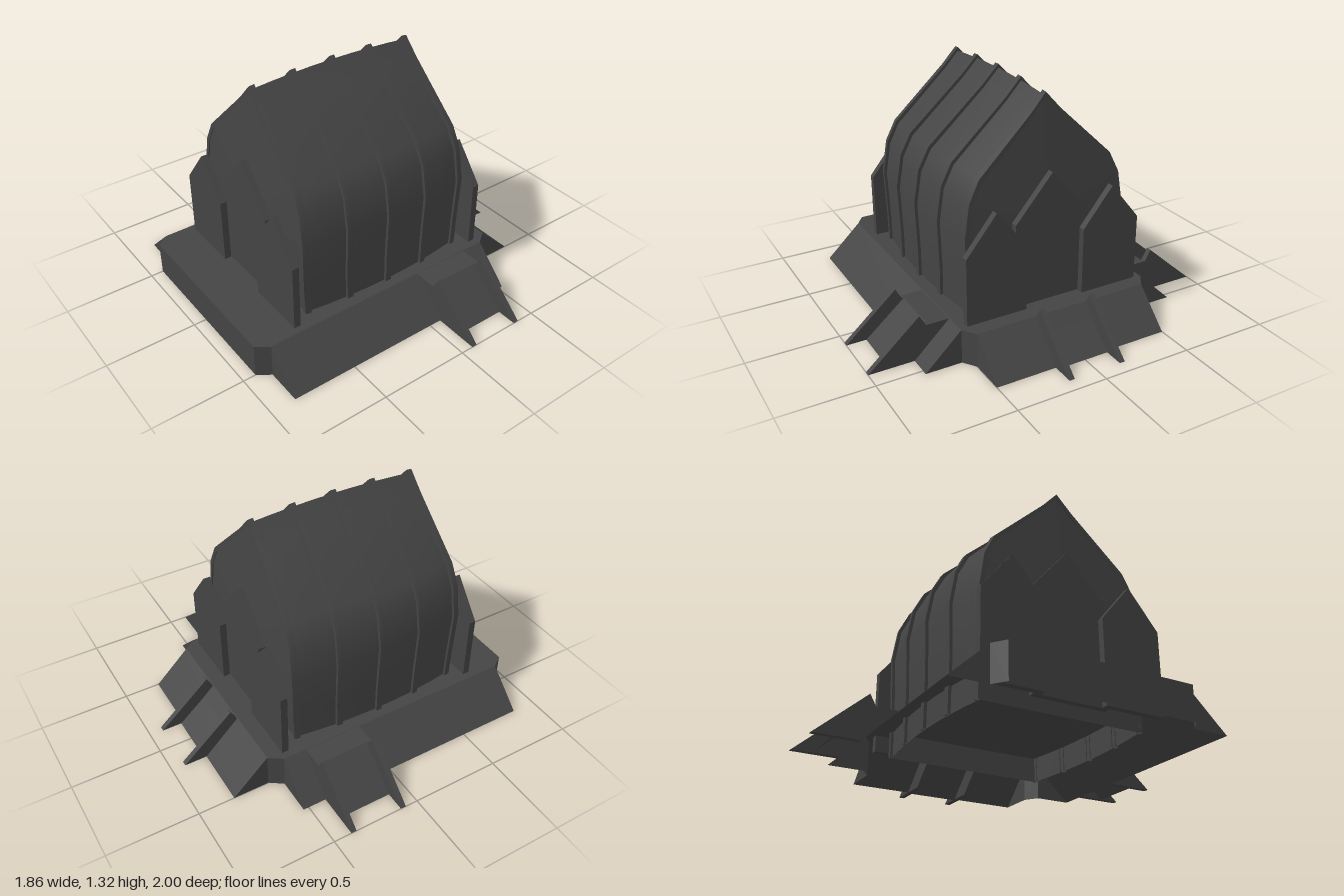
import * as THREE from 'three';
import { toCreasedNormals } from 'three/addons/utils/BufferGeometryUtils.js';

const material = new THREE.MeshStandardMaterial({ color: 0x444444, side: THREE.DoubleSide });
const DECK = 0.19;
const HALL_X = -0.09;

function part(name, geometry, parent) {
  const mesh = new THREE.Mesh(geometry, material);
  mesh.name = name;
  parent.add(mesh);
  return mesh;
}

// Flat-shaded geometry from a list of triangle corners
function triangles(corners) {
  const g = new THREE.BufferGeometry();
  g.setAttribute('position', new THREE.Float32BufferAttribute(corners.flat(), 3));
  g.computeVertexNormals();
  return g;
}

// Extruded outline, centred on its thickness
function slab(points, depth) {
  const shape = new THREE.Shape(points.map(([x, y]) => new THREE.Vector2(x, y)));
  return new THREE.ExtrudeGeometry(shape, { depth, bevelEnabled: false }).translate(0, 0, -depth / 2);
}

// Half arch of the hall: z, y, lengthwise stretch
const half = [
  [0.485, 0.05, 1.02], [0.485, 0.35, 1.045], [0.495, 0.62, 1.06], [0.465, 0.8, 1.05],
  [0.405, 0.915, 1.04], [0.09, 1.2, 1.01], [0, 1.295, 1],
];
const arch = [...half, ...half.slice(0, -1).reverse().map(([z, y, s]) => [-z, y, s])];

// Point on the barrel-shaped hall at length u, raised by off
function hallPoint(u, off, [z, y, s]) {
  const t = (u / 0.478) ** 2;
  return [HALL_X + u * s, y * (1 - 0.016 * t) + off * Math.max(0, y - 0.05), z * (1 - 0.08 * t) * (1 + 2 * off)];
}

// Surface through arches given as [u, off]
function loft(columns) {
  const positions = [], index = [], n = arch.length;
  columns.forEach(([u, off], c) => arch.forEach((p, i) => {
    positions.push(...hallPoint(u, off, p));
    if (c && i) {
      const d = c * n + i, b = d - n;
      index.push(b - 1, d - 1, d, b - 1, d, b);
    }
  }));
  const g = new THREE.BufferGeometry();
  g.setAttribute('position', new THREE.Float32BufferAttribute(positions, 3));
  g.setIndex(index);
  return toCreasedNormals(g, 0.6);
}

// Octagonal deck, with walls that flare out on three sides
function addPlatform(parent) {
  const base = new THREE.Group();
  base.name = 'platform';
  parent.add(base);
  const rim = [[-0.93, 0.5], [-0.86, 0.55], [0.53, 0.55], [0.6, 0.5], [0.6, -0.5], [0.53, -0.55], [-0.86, -0.55], [-0.93, -0.5]];
  const flared = [1, 3, 5];
  const deck = [], walls = [];
  rim.forEach((a, i) => {
    const b = rim[(i + 1) % rim.length];
    const length = Math.hypot(b[0] - a[0], b[1] - a[1]);
    const d = flared.includes(i) ? 0.2 : 0;
    const nx = -(b[1] - a[1]) / length * d, nz = (b[0] - a[0]) / length * d;
    const at = [a[0], DECK, a[1]], bt = [b[0], DECK, b[1]];
    const ao = [a[0] + nx, 0, a[1] + nz], bo = [b[0] + nx, 0, b[1] + nz];
    deck.push([0, DECK, 0], at, bt);
    walls.push(at, ao, bo, at, bo, bt);
    if (d) walls.push(at, [a[0], 0, a[1]], ao, bt, bo, [b[0], 0, b[1]]);
  });
  part('deck', triangles(deck), base);
  part('platformWalls', triangles(walls), base);
}

// Entry ramp running outward along local +x, with a fin on each side
function addRamp(name, parent, x, z, turn) {
  const ramp = new THREE.Group();
  ramp.name = name;
  const fin = [[-0.13, 0.188], [0, 0.188], [0.035, 0.25], [0.32, 0], [0.07, 0]];
  for (const side of [-1, 1]) part('rampFin', slab(fin, 0.03), ramp).position.z = side * 0.15;
  const path = [[-0.13, 0.188], [-0.01, 0.188], [0.21, 0]], w = 0.14, corners = [];
  for (let i = 0; i < 2; i++) {
    const [a, b] = [path[i], path[i + 1]];
    corners.push([...a, w], [...b, w], [...b, -w], [...a, w], [...b, -w], [...a, -w]);
  }
  part('rampSurface', triangles(corners), ramp);
  ramp.position.set(x, 0, z);
  ramp.rotation.y = turn;
  parent.add(ramp);
}

// Pointed upright panel standing against an end wall
function addPanel(name, parent, x, z, halfWidth, shoulder, apex) {
  const outline = [[-halfWidth, 0.1], [halfWidth, 0.1], [halfWidth, shoulder], [0, apex], [-halfWidth, shoulder]];
  const mesh = part(name, slab(outline, 0.038), parent);
  mesh.rotation.y = Math.PI / 2;
  mesh.position.set(x, 0, z);
}

export function createModel() {
  const model = new THREE.Group();
  model.name = 'ribbedHall';
  addPlatform(model);

  // Vaulted hall with five ribs
  const hall = new THREE.Group();
  hall.name = 'hall';
  model.add(hall);
  const stations = Array.from({ length: 9 }, (_, i) => [-0.478 + i * 0.1195, 0]);
  part('vault', loft(stations), hall);
  for (let i = -2; i <= 2; i++) {
    const u = i * 0.236, w = 0.016;
    part('rib', loft([[u - w, -0.005], [u - w, 0.017], [u + w, 0.017], [u + w, -0.005]]), hall);
  }

  // Gently bulging end walls and their pointed panels
  for (const side of [-1, 1]) {
    const ring = arch.map(p => hallPoint(side * 0.478, 0, p));
    const centre = [HALL_X + side * 0.525, 0.62, 0], corners = [];
    ring.forEach((a, i) => {
      const b = ring[(i + 1) % ring.length];
      corners.push(centre, ...(side > 0 ? [a, b] : [b, a]));
    });
    part('endWall', triangles(corners), hall);
    addPanel('centrePanel', model, HALL_X + side * 0.547, 0, 0.21, 0.655, 0.9);
    for (const z of [-0.34, 0.34]) addPanel('sidePanel', model, HALL_X + side * 0.588, z, 0.17, 0.56, 0.77);
  }

  // Ramps at the front, back and one end
  addRamp('frontRamp', model, 0.235, 0.68, -Math.PI / 2);
  addRamp('backRamp', model, 0.235, -0.68, Math.PI / 2);
  addRamp('endRamp', model, 0.605, 0, 0);
  return model;
}
